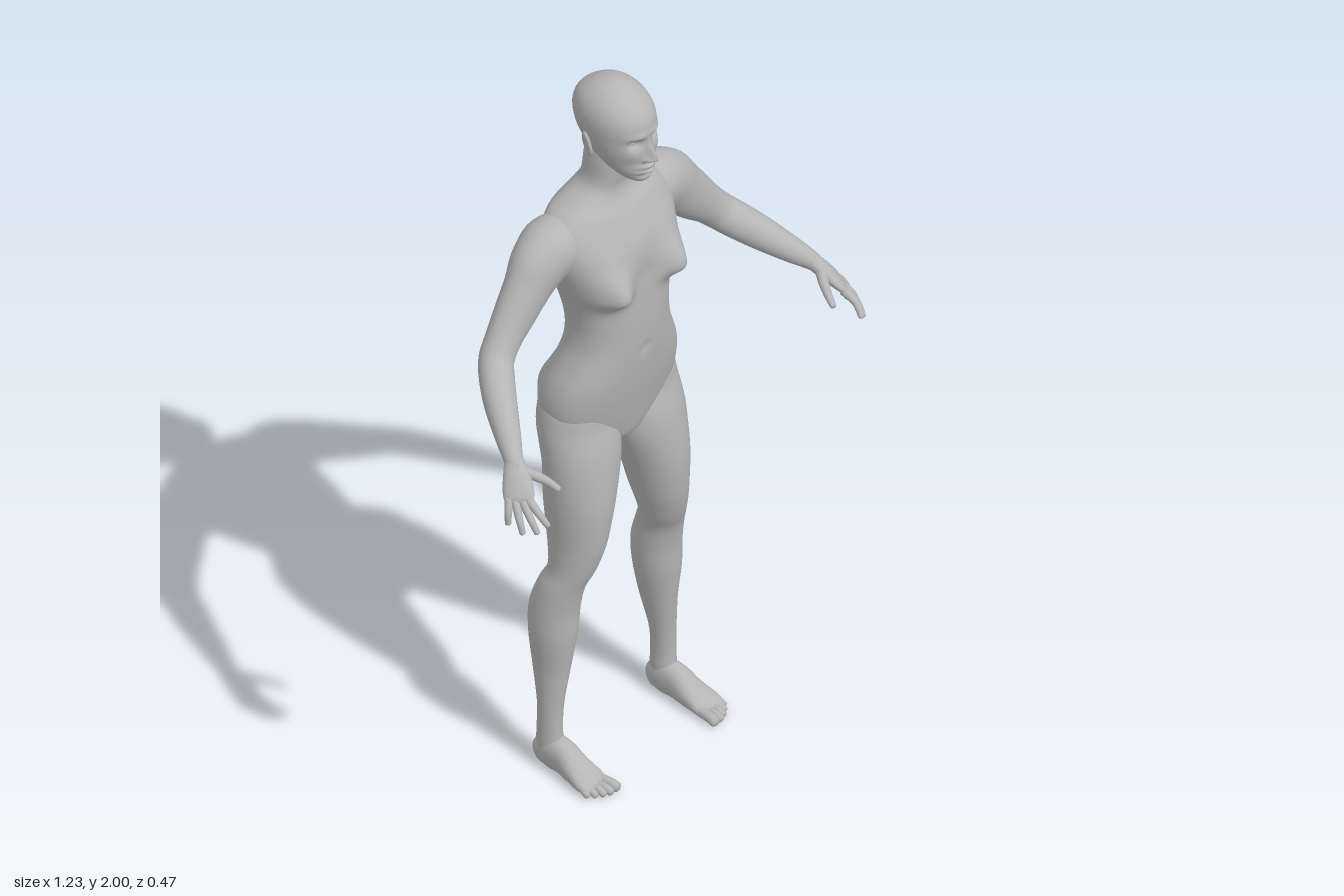
import * as THREE from 'three';

const skin = new THREE.MeshStandardMaterial({ color: 0xb4b4b4 });
skin.name = 'plain grey';

// Catmull-Rom blend of whole section rows
function sampleRows(rows, t) {
  const i = Math.min(Math.floor(t), rows.length - 2), f = t - i;
  const at = k => rows[Math.max(0, Math.min(rows.length - 1, k))];
  const [a, b, c, d] = [at(i - 1), at(i), at(i + 1), at(i + 2)];
  return b.map((_, k) => b[k] + 0.5 * f * (c[k] - a[k] +
    f * (2 * a[k] - 5 * b[k] + 4 * c[k] - d[k] + f * (3 * (b[k] - c[k]) + d[k] - a[k]))));
}

// Skin over cross-sections [x, y, z, halfSide, halfFront].
// Without ref the sections are level; with ref they stand square to the path.
function loft(rows, { ref = null, sides = 32, steps = 4, power = 2, shape = null } = {}) {
  const pos = [], idx = [], n = (rows.length - 1) * steps;
  const centre = t => new THREE.Vector3(...sampleRows(rows, t).slice(0, 3));
  const side = new THREE.Vector3(1, 0, 0), front = new THREE.Vector3(0, 0, 1), p = new THREE.Vector3();
  const bend = v => Math.sign(v) * Math.pow(Math.abs(v), 2 / power);
  const put = () => { if (shape) shape(p); pos.push(p.x, p.y, p.z); };
  for (let i = 0; i <= n; i++) {
    const t = i / steps, [x, y, z, w, d] = sampleRows(rows, t);
    if (ref) {
      const dir = centre(Math.min(t + 0.2, rows.length - 1)).sub(centre(Math.max(t - 0.2, 0))).normalize();
      side.crossVectors(dir, ref).normalize();
      front.crossVectors(side, dir);
    }
    for (let j = 0; j < sides; j++) {
      const a = j / sides * Math.PI * 2;
      p.set(x, y, z).addScaledVector(side, bend(Math.sin(a)) * Math.max(w, 0.001))
        .addScaledVector(front, bend(Math.cos(a)) * Math.max(d, 0.001));
      put();
      if (i < n) {
        const q = i * sides + j, r = i * sides + (j + 1) % sides;
        idx.push(q, r, r + sides, q, r + sides, q + sides);
      }
    }
  }
  // End caps
  const base = (n + 1) * sides;
  p.set(...rows[0].slice(0, 3)); put();
  p.set(...rows[rows.length - 1].slice(0, 3)); put();
  for (let j = 0; j < sides; j++) {
    const k = (j + 1) % sides;
    idx.push(base, k, j, base + 1, n * sides + j, n * sides + k);
  }
  const g = new THREE.BufferGeometry();
  g.setAttribute('position', new THREE.Float32BufferAttribute(pos, 3));
  g.setIndex(idx);
  g.computeVertexNormals();
  return g;
}

// Level rows [y, halfWidth, zFront, zBack]
const level = rows => rows.map(([y, w, f, b]) => [0, y, (f + b) / 2, w, (f - b) / 2]);

// Round-ended digit through points, tapering from r0 to r1
function digit(points, r0, r1, ref) {
  const last = points.length - 1;
  const rows = points.map((p, i) => { const r = r0 + (r1 - r0) * i / last; return [...p, r, r]; });
  const a = new THREE.Vector3(...points[last - 1]), b = new THREE.Vector3(...points[last]);
  const dir = b.clone().sub(a).normalize();
  for (const [k, s] of [[-1, 1], [-0.35, 0.9], [-0.08, 0.5], [0, 0.1]]) {
    const c = b.clone().addScaledVector(dir, k * r1);
    const row = [c.x, c.y, c.z, r1 * s, r1 * s];
    if (k === -1) rows[last] = row; else rows.push(row);
  }
  return loft(rows, { ref, sides: 14, steps: 3 });
}

function mirrored(geometry) {
  const g = geometry.clone().scale(-1, 1, 1), ix = g.index.array;
  for (let i = 0; i < ix.length; i += 3) [ix[i], ix[i + 1]] = [ix[i + 1], ix[i]];
  g.computeVertexNormals();
  return g;
}

const bump = (v, c, r) => Math.exp(-(((v - c) / r) ** 2));

// Chest, buttocks and spine
function shapeTorso(p) {
  const ax = Math.abs(p.x), { y } = p;
  if (p.z > -0.07) {
    const k = Math.min(1, (p.z + 0.07) / 0.05);
    p.z += k * 0.058 * bump(ax, 0.108, 0.05) * bump(y, 1.44, y < 1.44 ? 0.036 : 0.065);
    p.z -= k * 0.006 * bump(p.x, 0, 0.02) * bump(y, 1.33, 0.13);
    p.z -= k * 0.006 * bump(p.x, 0, 0.012) * bump(y, 1.232, 0.012);
    p.z += k * 0.006 * bump(y, 1.625 + ax * 0.1, 0.012) * bump(ax, 0.09, 0.06);
  } else {
    const k = Math.min(1, (-0.07 - p.z) / 0.05);
    p.z -= k * 0.042 * bump(ax, 0.085, 0.065) * bump(y, 1.045, 0.075);
    p.z += k * 0.025 * bump(p.x, 0, 0.014) * bump(y, 1.03, 0.075);
    p.z += k * 0.014 * bump(p.x, 0, 0.03) * bump(y, 1.38, 0.2);
    p.z -= k * 0.008 * bump(ax, 0.1, 0.05) * bump(y, 1.53, 0.07);
  }
}

// Nose, eye sockets, brows, lips and chin
function shapeFace(p) {
  if (p.z < -0.03) return;
  const ax = Math.abs(p.x), { y } = p;
  const ridge = y < 1.822 ? bump(y, 1.822, 0.009) : bump(y, 1.822, 0.036);
  p.z += 0.03 * ridge * bump(p.x, 0, 0.007 + 0.006 * bump(y, 1.82, 0.018));
  p.z += 0.011 * bump(ax, 0.014, 0.006) * bump(y, 1.818, 0.007);
  p.z -= 0.014 * bump(ax, 0.033, 0.016) * bump(y, 1.868, 0.012);
  p.z += 0.005 * bump(ax, 0.03, 0.022) * bump(y, 1.89, 0.008);
  p.z += 0.006 * bump(ax, 0.045, 0.02) * bump(y, 1.835, 0.02);
  p.z += bump(p.x, 0, 0.024) * (0.012 * bump(y, 1.796, 0.007) + 0.011 * bump(y, 1.782, 0.007));
  p.z -= 0.006 * bump(p.x, 0, 0.024) * bump(y, 1.789, 0.003);
  p.z -= 0.005 * bump(p.x, 0, 0.03) * bump(y, 1.77, 0.006);
}

export function createModel() {
  const model = new THREE.Group();
  model.name = 'standingFigure';
  const add = (name, geometry, parent = model) => {
    const m = new THREE.Mesh(geometry, skin);
    m.name = name;
    parent.add(m);
  };
  const Y = new THREE.Vector3(0, 1, 0), Z = new THREE.Vector3(0, 0, 1);

  // Torso and neck
  add('torso', loft(level([
    [0.925, 0.02, -0.03, -0.11], [0.95, 0.09, -0.012, -0.15], [1.0, 0.175, 0.0, -0.18],
    [1.05, 0.2, 0.01, -0.195], [1.1, 0.204, 0.02, -0.2], [1.15, 0.193, 0.028, -0.19],
    [1.2, 0.17, 0.034, -0.172], [1.25, 0.149, 0.038, -0.162], [1.3, 0.141, 0.04, -0.162],
    [1.35, 0.144, 0.04, -0.17], [1.4, 0.155, 0.036, -0.18], [1.45, 0.17, 0.03, -0.19],
    [1.5, 0.184, 0.03, -0.198], [1.55, 0.192, 0.02, -0.2], [1.6, 0.188, -0.006, -0.199],
    [1.635, 0.165, -0.03, -0.192], [1.66, 0.118, -0.045, -0.18], [1.685, 0.077, -0.05, -0.167],
    [1.715, 0.06, -0.046, -0.153], [1.77, 0.056, -0.04, -0.147], [1.82, 0.05, -0.04, -0.14],
  ]), { sides: 96, steps: 5, power: 2.3, shape: shapeTorso }));

  // Head
  add('head', loft(level([
    [1.742, 0.016, 0.03, -0.01], [1.755, 0.036, 0.042, -0.05], [1.78, 0.055, 0.045, -0.095],
    [1.81, 0.068, 0.043, -0.13], [1.84, 0.077, 0.044, -0.155], [1.87, 0.083, 0.044, -0.172],
    [1.9, 0.086, 0.044, -0.18], [1.93, 0.084, 0.035, -0.179], [1.96, 0.072, 0.012, -0.163],
    [1.985, 0.047, -0.022, -0.128], [1.997, 0.02, -0.052, -0.095], [2.0, 0.003, -0.071, -0.077],
  ]), { sides: 128, steps: 8, power: 2.1, shape: shapeFace }));

  // Left-hand parts, each repeated on the right
  const pairs = [];
  pairs.push(['eye', new THREE.SphereGeometry(0.0125, 20, 14).scale(1.1, 0.75, 1).translate(0.033, 1.868, 0.013)]);
  const placeEar = g => g.rotateX(-0.15).rotateZ(-0.12).translate(0.089, 1.847, -0.077);
  pairs.push(['earRim', placeEar(new THREE.TorusGeometry(0.014, 0.005, 10, 28).scale(1, 2, 1).rotateY(Math.PI / 2 + 0.35))]);
  pairs.push(['earBowl', placeEar(new THREE.SphereGeometry(1, 20, 14).scale(0.006, 0.028, 0.014).rotateY(0.35))]);

  pairs.push(['leg', loft([
    [0.203, 0.03, -0.095, 0.029, 0.036], [0.203, 0.08, -0.095, 0.03, 0.036], [0.203, 0.13, -0.095, 0.029, 0.034],
    [0.2, 0.2, -0.095, 0.032, 0.036], [0.191, 0.3, -0.1, 0.043, 0.051], [0.186, 0.4, -0.1, 0.058, 0.063],
    [0.182, 0.48, -0.098, 0.061, 0.065], [0.176, 0.55, -0.081, 0.058, 0.061], [0.162, 0.6, -0.061, 0.057, 0.061],
    [0.152, 0.65, -0.057, 0.062, 0.072], [0.144, 0.7, -0.058, 0.069, 0.082], [0.133, 0.8, -0.062, 0.085, 0.092],
    [0.118, 0.9, -0.069, 0.102, 0.091], [0.112, 0.96, -0.08, 0.107, 0.093], [0.108, 1.02, -0.095, 0.106, 0.092],
    [0.105, 1.08, -0.098, 0.096, 0.085], [0.1, 1.13, -0.1, 0.07, 0.05],
  ], { sides: 48, steps: 5 })]);

  pairs.push(['foot', loft([
    [0.202, 0.03, -0.138, 0.01, 0.014], [0.202, 0.036, -0.124, 0.026, 0.033], [0.202, 0.047, -0.09, 0.033, 0.048],
    [0.203, 0.047, -0.05, 0.034, 0.046], [0.205, 0.034, -0.01, 0.038, 0.034], [0.208, 0.024, 0.03, 0.043, 0.023],
    [0.209, 0.018, 0.052, 0.042, 0.016], [0.208, 0.014, 0.068, 0.034, 0.009],
  ], { ref: Y, power: 2.3, shape: p => { p.y = Math.max(p.y, 0.003); } })]);
  [[0.181, 0.174, 0.108, 0.0135], [0.199, 0.196, 0.106, 0.01], [0.213, 0.214, 0.098, 0.0095],
    [0.226, 0.231, 0.086, 0.009], [0.238, 0.245, 0.072, 0.009]].forEach(([x0, x1, z, r], i) =>
    pairs.push(['toe' + (i + 1), digit([[x0, 0.018, 0.04], [(x0 + x1) / 2, 0.018, z - 0.025], [x1, r, z]], r, r, Y)]));

  pairs.push(['arm', loft([
    [0.1, 1.568, -0.115, 0.06, 0.06], [0.17, 1.563, -0.115, 0.08, 0.078], [0.225, 1.54, -0.112, 0.08, 0.068],
    [0.27, 1.495, -0.108, 0.069, 0.055], [0.32, 1.44, -0.105, 0.06, 0.048], [0.365, 1.393, -0.1, 0.05, 0.043],
    [0.4, 1.355, -0.09, 0.047, 0.043], [0.43, 1.325, -0.06, 0.046, 0.043], [0.465, 1.29, -0.015, 0.042, 0.04],
    [0.505, 1.25, 0.045, 0.033, 0.032], [0.53, 1.225, 0.083, 0.025, 0.025], [0.545, 1.205, 0.107, 0.018, 0.022],
  ], { ref: Z, sides: 40, steps: 5 })]);

  // Hand: palm, thumb and four fingers
  const across = new THREE.Vector3(0.6, -0.1, -0.8);
  pairs.push(['palm', loft([
    [0.53, 1.225, 0.086, 0.02, 0.022], [0.548, 1.2, 0.11, 0.02, 0.031], [0.563, 1.175, 0.131, 0.017, 0.038],
    [0.576, 1.154, 0.147, 0.013, 0.037], [0.581, 1.146, 0.153, 0.006, 0.028],
  ], { ref: across })]);
  pairs.push(['thumb', digit([[0.54, 1.205, 0.112], [0.517, 1.19, 0.145], [0.502, 1.178, 0.172], [0.49, 1.16, 0.203]], 0.015, 0.0085, across)]);
  [['indexFinger', [0.562, 1.153, 0.166], [0.561, 1.102, 0.231]],
    ['middleFinger', [0.572, 1.15, 0.155], [0.583, 1.084, 0.216]],
    ['ringFinger', [0.583, 1.149, 0.142], [0.602, 1.077, 0.184]],
    ['littleFinger', [0.59, 1.153, 0.128], [0.608, 1.088, 0.14]]].forEach(([name, a, b]) => {
    const mid = a.map((v, k) => (v + b[k]) / 2 + [0.006, 0.006, 0.004][k]);
    pairs.push([name, digit([a, mid, b], 0.0115, 0.008, across)]);
  });

  const left = new THREE.Group(), right = new THREE.Group();
  left.name = 'leftSide';
  right.name = 'rightSide';
  model.add(left, right);
  for (const [name, g] of pairs) {
    add(name + 'Left', g, left);
    add(name + 'Right', mirrored(g), right);
  }
  return model;
}
